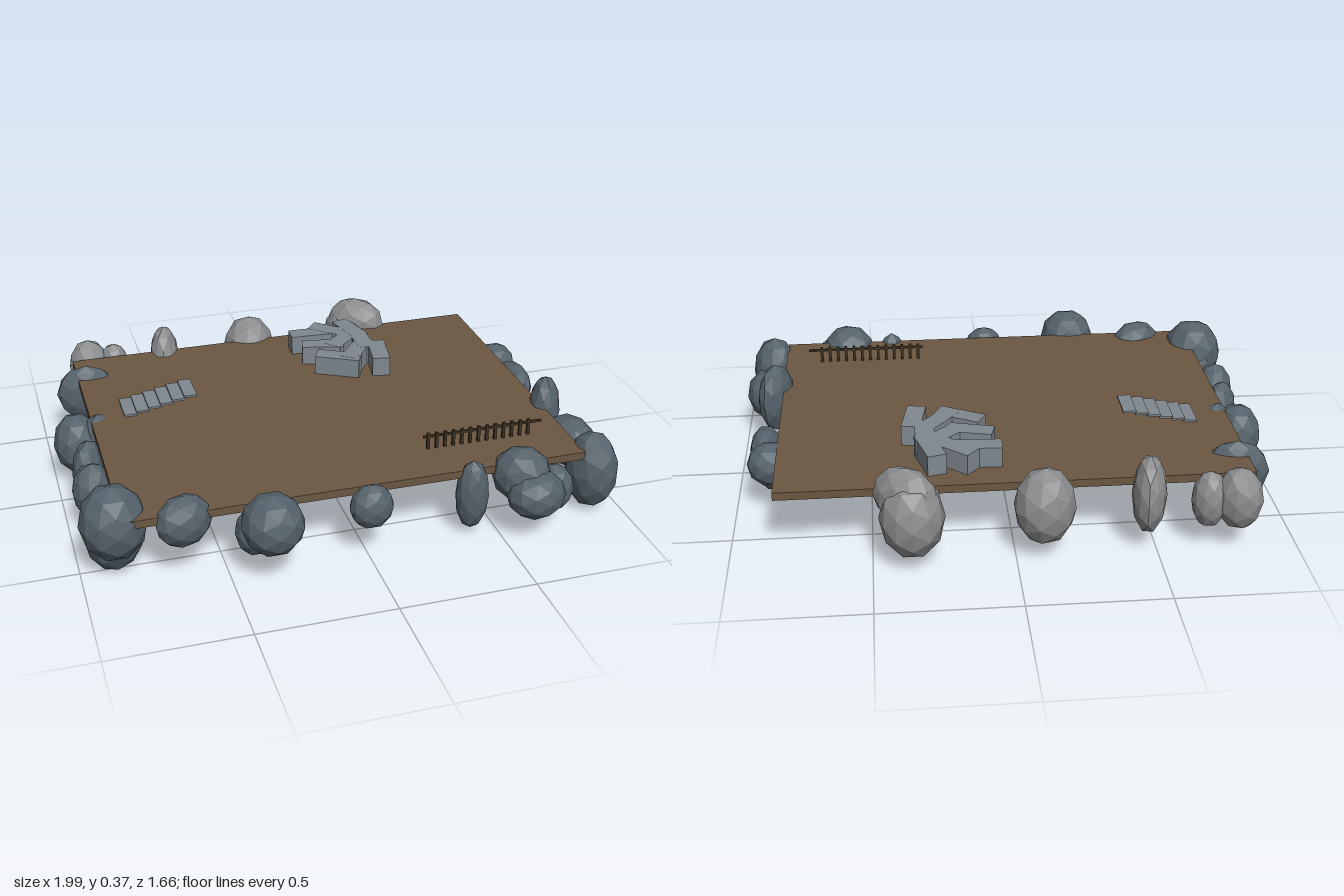
import * as THREE from 'three';

const mat = (name, color, flatShading = false) => {
  const m = new THREE.MeshStandardMaterial({ color, flatShading });
  m.name = name;
  return m;
};

export function createModel() {
  const group = new THREE.Group();
  const soil = mat('soil brown', 0x6b5742);
  const wood = mat('dark wood', 0x3d3022);
  const slate = mat('slate', 0x55626b, true);
  const grey = mat('grey rock', 0x8b8c8e, true);
  const block = mat('block grey', 0x80888f);

  const add = (parent, name, geo, material, x, y, z, ry = 0, rz = 0) => {
    const mesh = new THREE.Mesh(geo, material);
    mesh.name = name;
    mesh.position.set(x, y, z);
    mesh.rotation.set(0, ry, rz);
    parent.add(mesh);
    return mesh;
  };
  const section = (name) => {
    const g = new THREE.Group();
    g.name = name;
    group.add(g);
    return g;
  };

  // Flat ground slab
  add(group, 'platform', new THREE.BoxGeometry(1.69, 0.03, 1.265), soil, -0.01, 0.259, -0.002);

  // Rim rocks: x, y, z, radii x y z, turn about y, tilt about z
  const rockGeo = new THREE.IcosahedronGeometry(1, 1);
  const rocks = (name, material, list) => {
    const g = section(name);
    list.forEach(([x, y, z, a, b, c, ry = 0, rz = 0]) =>
      add(g, 'rock', rockGeo, material, x, y, z, ry, rz).scale.set(a, b, c));
  };
  rocks('backRocks', grey, [
    [-0.78, 0.21, -0.70, 0.085, 0.12, 0.075, -0.4],
    [-0.68, 0.20, -0.68, 0.065, 0.11, 0.065],
    [-0.47, 0.22, -0.66, 0.062, 0.15, 0.105, -0.2],
    [-0.10, 0.21, -0.69, 0.11, 0.145, 0.107, 0.3],
    [-0.14, 0.16, -0.59, 0.07, 0.09, 0.07],
    [0.36, 0.20, -0.71, 0.115, 0.15, 0.125],
    [0.38, 0.27, -0.69, 0.125, 0.11, 0.08, -0.6],
  ]);
  rocks('rightRocks', slate, [
    [-0.82, 0.20, -0.485, 0.122, 0.12, 0.05, -0.12],
    [-0.91, 0.17, -0.14, 0.09, 0.12, 0.105],
    [-0.83, 0.19, -0.12, 0.07, 0.10, 0.06, 0.8],
    [-0.895, 0.165, 0.07, 0.06, 0.125, 0.085, -0.4],
    [-0.905, 0.18, 0.24, 0.075, 0.11, 0.07, 0.3],
    [-0.875, 0.22, 0.53, 0.12, 0.14, 0.125],
    [-0.87, 0.15, 0.49, 0.11, 0.14, 0.10, 0.6],
  ]);
  rocks('leftRocks', slate, [
    [0.865, 0.20, -0.285, 0.085, 0.083, 0.08],
    [0.89, 0.18, -0.13, 0.06, 0.08, 0.12],
    [0.87, 0.11, -0.12, 0.07, 0.10, 0.10],
    [0.865, 0.23, 0.21, 0.062, 0.142, 0.095, -0.5],
    [0.905, 0.17, 0.37, 0.09, 0.10, 0.125, 0.2],
    [0.89, 0.17, 0.585, 0.092, 0.155, 0.105, 0.4],
  ]);
  rocks('frontRocks', slate, [
    [-0.645, 0.235, 0.61, 0.105, 0.096, 0.077, 0.35],
    [-0.36, 0.235, 0.715, 0.112, 0.112, 0.115],
    [-0.41, 0.18, 0.66, 0.07, 0.09, 0.07],
    [0.005, 0.217, 0.675, 0.08, 0.085, 0.062],
    [0.40, 0.17, 0.63, 0.062, 0.14, 0.055],
    [0.58, 0.235, 0.645, 0.108, 0.105, 0.095, -0.4],
    [0.61, 0.185, 0.715, 0.11, 0.09, 0.095, 0.2],
    [0.70, 0.17, 0.66, 0.075, 0.09, 0.08],
  ]);

  // Heap of stone blocks: three fanned rows of three (x, z, length, turn)
  const blocks = section('stoneBlocks');
  [
    [0.115, -0.48, 0.17, -0.05], [0.20, -0.485, 0.17, -0.72], [0.285, -0.475, 0.17, -1.32],
    [0.135, -0.36, 0.17, -0.26], [0.23, -0.39, 0.17, 0.75], [0.30, -0.36, 0.16, 1.57],
    [0.165, -0.24, 0.18, -0.5], [0.25, -0.275, 0.17, 0.9], [0.335, -0.245, 0.17, 1.4],
  ].forEach(([x, z, len, ry], i) =>
    add(blocks, 'stoneBlock', new THREE.BoxGeometry(len, 0.078, 0.07), block,
      x, 0.311 + (i % 3) * 0.0006, z, ry));

  // Low flight of thin treads rising toward +x
  const steps = section('steps');
  const treadGeo = new THREE.BoxGeometry(0.05, 0.008, 0.14);
  for (let i = 0; i < 6; i++)
    add(steps, 'tread', treadGeo, block, -0.703 + i * 0.0465, 0.28 + i * 0.0095, -0.167);

  // Picket fence with one rail
  const fence = section('fence');
  add(fence, 'rail', new THREE.BoxGeometry(0.465, 0.009, 0.007), wood, 0.508, 0.324, 0.445);
  const picketGeo = new THREE.BoxGeometry(0.011, 0.066, 0.01);
  for (let i = 0; i < 13; i++)
    add(fence, 'picket', picketGeo, wood, 0.295 + i * 0.0328, 0.304, 0.445);

  return group;
}
